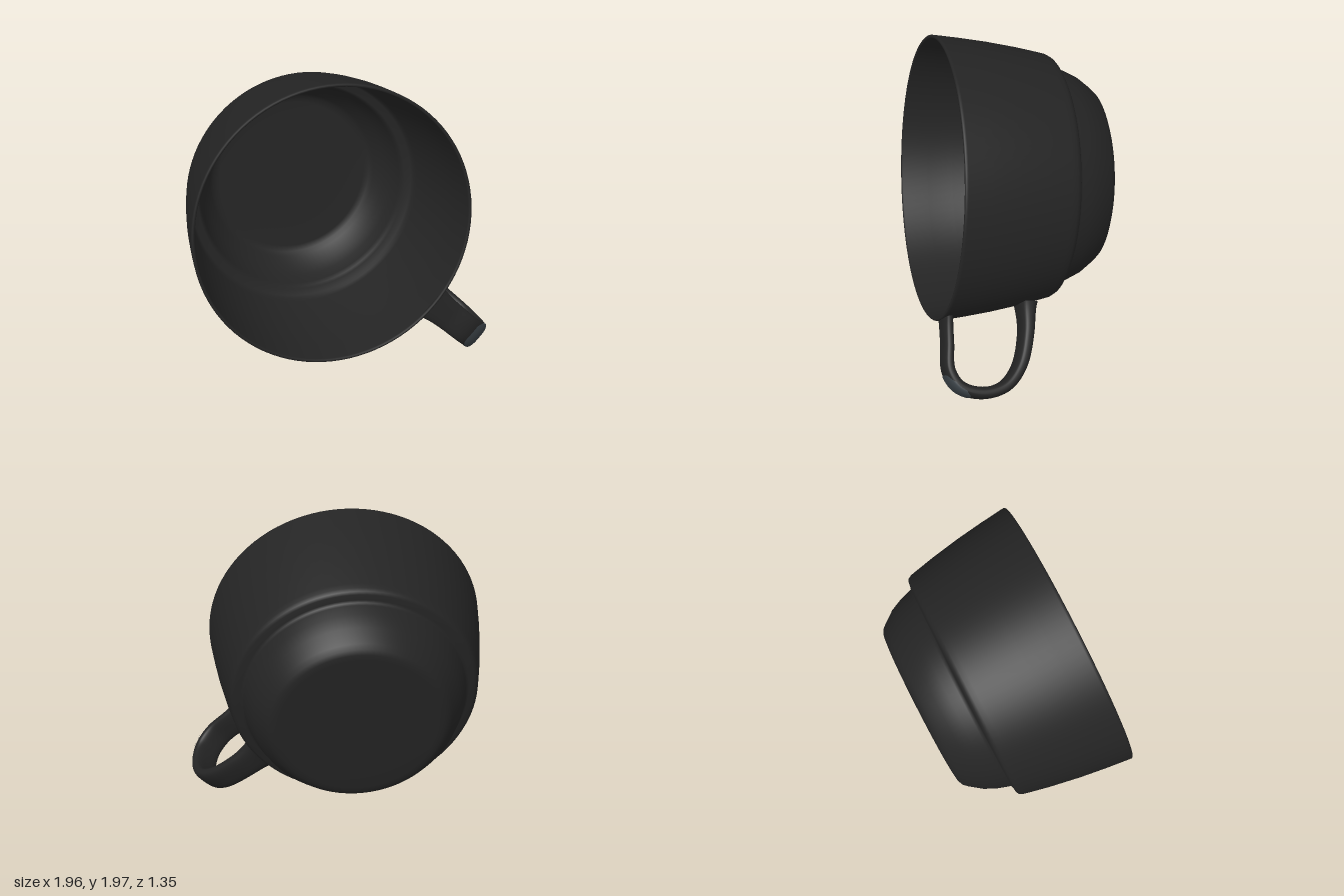
import * as THREE from 'three';
import { ParametricGeometry } from 'three/addons/geometries/ParametricGeometry.js';

export function createModel() {
  const model = new THREE.Group();
  const black = new THREE.MeshStandardMaterial({ color: 0x242424 });
  black.name = 'charcoal black';
  const slate = new THREE.MeshStandardMaterial({ color: 0x3a4146 });
  slate.name = 'slate grey';

  // Local frame of the tilted cup: y = opening axis from the rim centre, x = towards the handle
  const axis = new THREE.Vector3(-0.113, 0.14, 0.984).normalize();
  const out = new THREE.Vector3(0.707, -0.707, 0);
  out.addScaledVector(axis, -out.dot(axis)).normalize();
  const side = new THREE.Vector3().crossVectors(out, axis);
  const cup = new THREE.Group();
  cup.name = 'cup';
  cup.quaternion.setFromRotationMatrix(new THREE.Matrix4().makeBasis(out, axis, side));
  cup.position.set(-0.09, 1.09, 0.45);
  model.add(cup);

  const add = (name, geometry, material) => {
    const mesh = new THREE.Mesh(geometry, material);
    mesh.name = name;
    cup.add(mesh);
  };

  // Bowl: stepped outside, rolled rim, stepped inside
  const profile = [
    [0, -1.055], [0.3, -1.055], [0.5, -1.054], [0.535, -1.05], [0.565, -1.037], [0.59, -1.01],
    [0.65, -0.93], [0.687, -0.85], [0.708, -0.785], [0.714, -0.766], [0.73, -0.761],
    [0.765, -0.756], [0.782, -0.746], [0.794, -0.725], [0.802, -0.69], [0.832, -0.55],
    [0.867, -0.35], [0.89, -0.18], [0.908, -0.02], [0.909, -0.006], [0.903, 0],
    [0.893, 0], [0.887, -0.008], [0.87, -0.18], [0.847, -0.35], [0.812, -0.55],
    [0.782, -0.69], [0.772, -0.722], [0.758, -0.735], [0.715, -0.742], [0.698, -0.75],
    [0.688, -0.785], [0.667, -0.85], [0.63, -0.925], [0.575, -0.995], [0.55, -1.018],
    [0.51, -1.03], [0.3, -1.032], [0, -1.032],
  ].map(([r, y]) => new THREE.Vector2(r, y));
  const bowl = new THREE.LatheGeometry(profile, 96);
  bowl.scale(0.985, 1, 1).rotateY(Math.PI / 4);
  add('bowl', bowl, black);

  // Handle: a flat strap swept along a planar loop, flaring where it meets the bowl
  const path = new THREE.CatmullRomCurve3([
    [0.875, -0.04], [1.05, -0.038], [1.22, -0.035], [1.325, -0.1], [1.37, -0.25],
    [1.335, -0.39], [1.22, -0.49], [1.02, -0.55], [0.82, -0.565],
  ].map(([x, y]) => new THREE.Vector3(x, y, 0)));
  const power = (v, p) => Math.sign(v) * Math.abs(v) ** p;
  const strapPoint = (t, angle, lift, target) => {
    const p = path.getPointAt(t);
    const d = path.getTangentAt(t);
    const flare = Math.exp(-t / 0.06) + Math.exp(-(1 - t) / 0.06);
    const thick = 0.032 + 0.012 * t + 0.02 * Math.exp(-(1 - t) / 0.06) + lift;
    const width = 0.096 + 0.03 * flare + lift;
    const n = thick * power(Math.cos(angle), 0.7);
    target.set(p.x - d.y * n, p.y + d.x * n, -width * power(Math.sin(angle), 0.7));
  };
  add('handle', new ParametricGeometry(
    (u, v, target) => strapPoint(u, v * Math.PI * 2 + 0.01, 0, target), 72, 40), black);

  // Thumb patch: thin rounded plate over the outer bend of the strap
  add('thumbPatch', new ParametricGeometry((u, v, target) => {
    const angle = (v - 0.5) * Math.PI * 0.9;
    const round = Math.sin(angle) ** 4;
    const start = 0.27 + 0.045 * round;
    const end = 0.405 - 0.03 * round;
    strapPoint(start + (end - start) * u, angle, 0.004, target);
  }, 20, 24), slate);

  return model;
}
